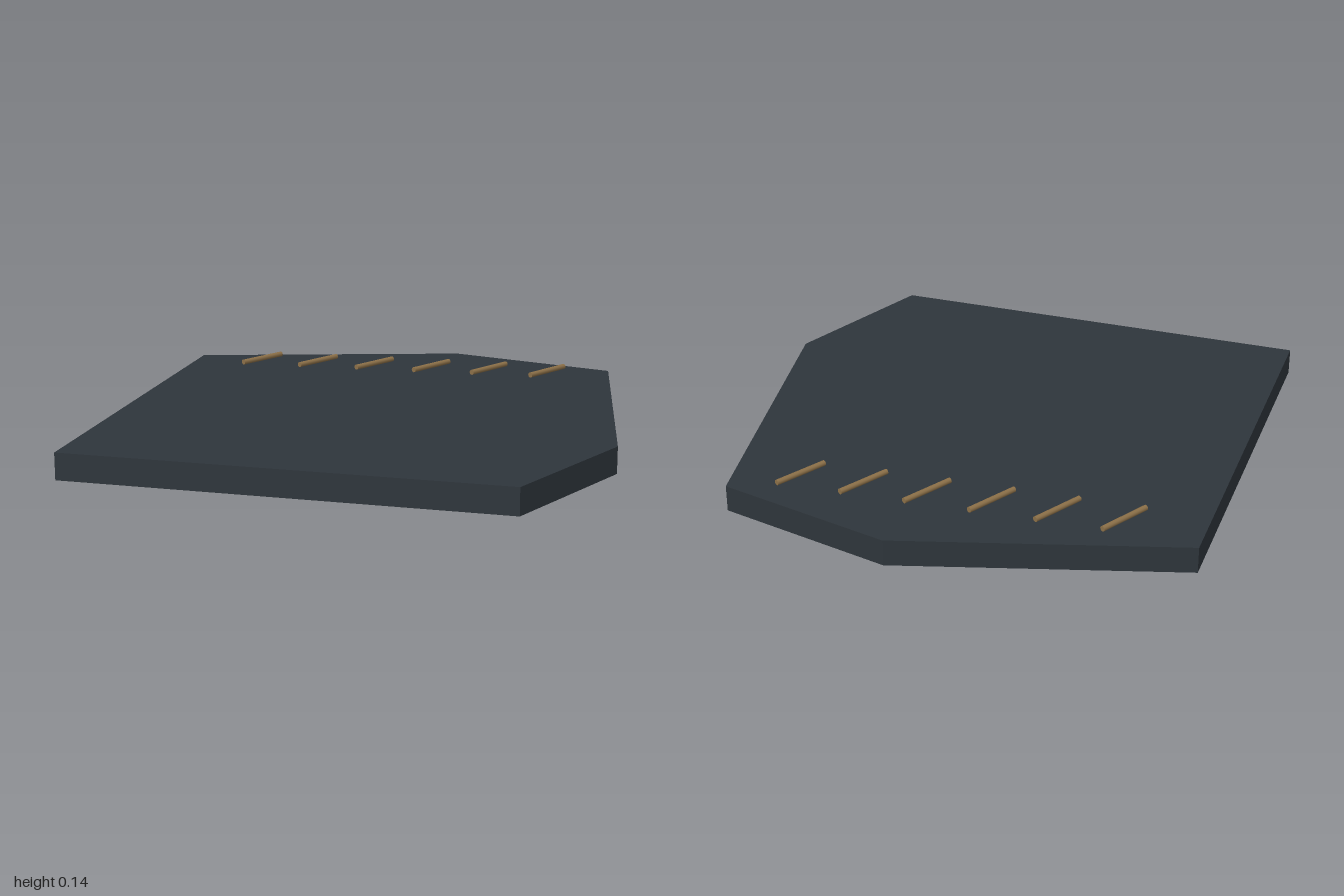
import * as THREE from 'three';

export function createModel() {
  const model = new THREE.Group();
  const slate = new THREE.MeshStandardMaterial({ color: 0x2e353b });
  slate.name = 'slate';
  const brass = new THREE.MeshStandardMaterial({ color: 0x8c7048 });
  brass.name = 'brass';

  // Irregular six-sided slab, outline given as (x, z)
  const outline = [
    [-0.9, -0.745], [0.195, -0.99], [0.875, -0.785],
    [1.0, 0.405], [0.71, 0.985], [-1.0, 0.88],
  ];
  const shape = new THREE.Shape(outline.map(([x, z]) => new THREE.Vector2(x, -z)));
  const slabGeometry = new THREE.ExtrudeGeometry(shape, { depth: 0.105, bevelEnabled: false });
  slabGeometry.rotateX(-Math.PI / 2);
  const slab = new THREE.Mesh(slabGeometry, slate);
  slab.name = 'slab';
  model.add(slab);

  // Row of slanted rods hovering just above the back edge
  const rodGeometry = new THREE.CylinderGeometry(0.011, 0.011, 0.22, 12);
  rodGeometry.rotateX(Math.PI / 2);
  const rods = new THREE.Group();
  rods.name = 'rods';
  for (let i = 0; i < 6; i++) {
    const rod = new THREE.Mesh(rodGeometry, brass);
    rod.name = 'rod' + (i + 1);
    rod.position.set(-0.61 + i * 0.2475, 0.126, -0.652);
    rod.rotation.y = -0.583;
    rods.add(rod);
  }
  model.add(rods);

  return model;
}
